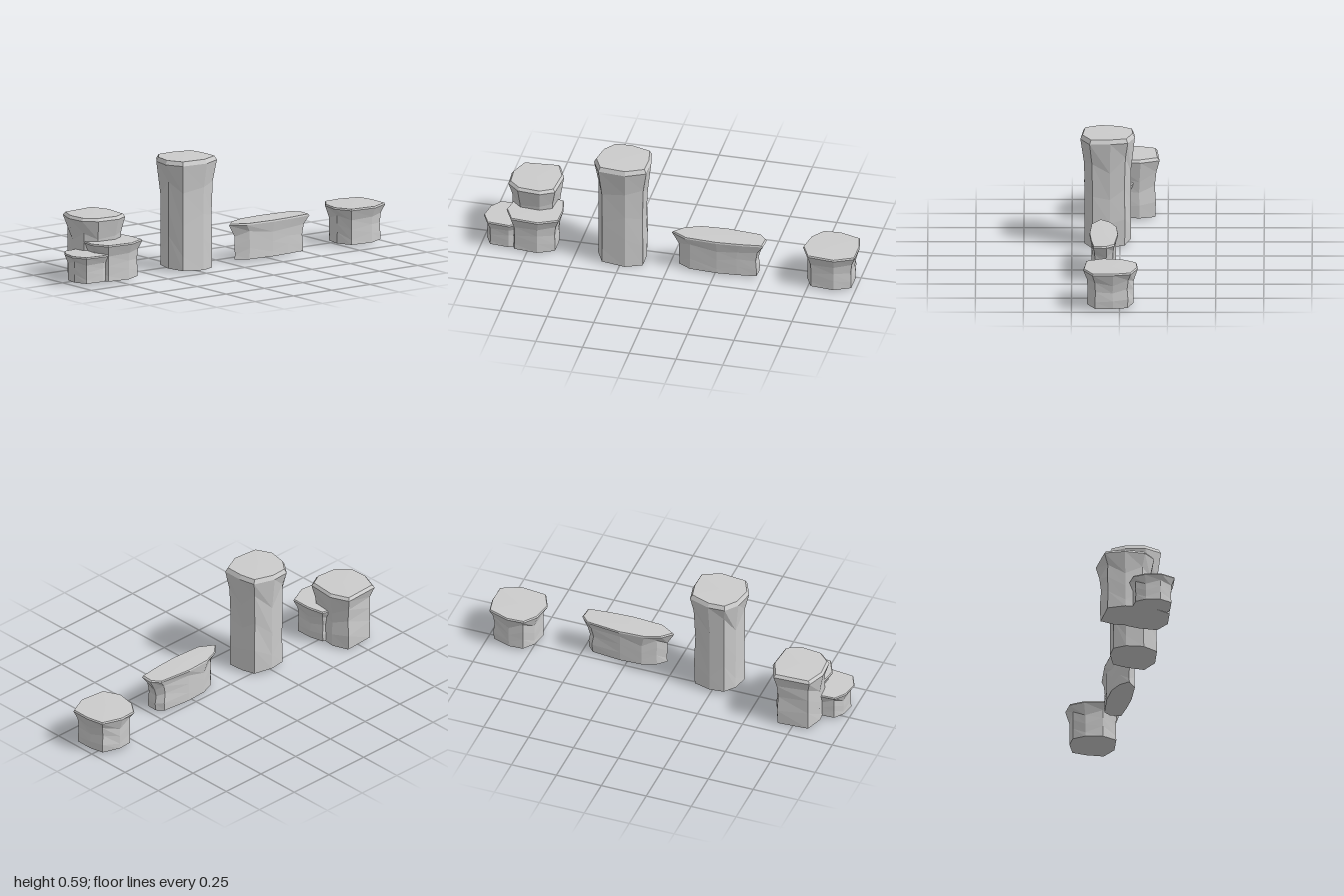
import * as THREE from 'three';

const material = new THREE.MeshStandardMaterial({ color: 0xcccccc, flatShading: true });

// Cap outlines seen from above, as (x, z) pairs in a -1..1 square
const blunt = [[-0.74, -0.87], [-0.1, -1], [0.66, -0.99], [1, -0.3], [0.9, 0.7], [0.27, 1], [-0.48, 0.87], [-0.96, 0.52], [-1, -0.1]];
const broad = [[-0.97, -0.67], [-0.3, -0.97], [0.74, -0.88], [1, -0.37], [0.92, 0.5], [0.52, 0.95], [-0.2, 1], [-0.89, 0.72]];
const blade = [[-0.75, -0.85], [-0.2, -1], [0.72, -0.98], [0.9, -0.5], [1, 0], [0.86, 0.68], [0.22, 1], [-0.45, 0.8], [-0.9, 0.45], [-1, -0.1]];

// Small repeatable variation in -1..1
const vary = (i, k, seed) => Math.sin(i * 12.9 + k * 78.2 + seed * 37.7);

// Weathered pillar: narrow waist, flaring rim, bevelled flat cap and uneven base
function pillar(name, outline, { x, z, rx, rz, top, bevel, flare, inset = 0.92, tilt, seed }) {
  const base = 0.016;
  const rim = top - bevel;
  const rings = [
    [base, 0.84], [base + (rim - base) * 0.22, 0.86], [base + (rim - base) * 0.48, 0.835],
    [rim - flare, 0.865], [rim, 1], [top, inset],
  ];
  const n = outline.length;
  const points = [], index = [];
  rings.forEach(([y, s], k) => {
    outline.forEach(([u, v], i) => {
      const body = k < 4;
      const scale = s + (body ? 0.018 * vary(i, k, seed) : 0);
      let h = y;
      if (k === 0) h += tilt[0] * u + tilt[1] * v;
      else if (body) h += 0.1 * (rim - base) * vary(k, i, seed + 2);
      else h += 0.002 * vary(i, 1, seed);
      points.push(x + u * rx * scale, h, z + v * rz * scale);
    });
  });
  for (let k = 0; k < rings.length - 1; k++) {
    for (let i = 0; i < n; i++) {
      const j = (i + 1) % n, a = k * n + i, b = k * n + j;
      index.push(a, a + n, b + n, a, b + n, b);
    }
  }
  // Close base and cap
  const low = points.length / 3, high = low + 1, last = (rings.length - 1) * n;
  points.push(x, base, z, x, top, z);
  for (let i = 0; i < n; i++) {
    const j = (i + 1) % n;
    index.push(low, i, j, high, last + j, last + i);
  }
  const indexed = new THREE.BufferGeometry();
  indexed.setAttribute('position', new THREE.Float32BufferAttribute(points, 3));
  indexed.setIndex(index);
  const geometry = indexed.toNonIndexed();
  geometry.computeVertexNormals();
  const mesh = new THREE.Mesh(geometry, material);
  mesh.name = name;
  return mesh;
}

export function createModel() {
  const group = new THREE.Group();
  group.name = 'rockPillars';
  group.add(
    // Separate stones from back to front
    pillar('backStone', blunt, { x: 0.047, z: -0.855, rx: 0.142, rz: 0.145, top: 0.211, bevel: 0.008, flare: 0.05, inset: 0.97, tilt: [0, 0], seed: 1 }),
    pillar('longStone', blade, { x: 0.083, z: -0.262, rx: 0.075, rz: 0.25, top: 0.211, bevel: 0.008, flare: 0.05, inset: 0.97, tilt: [0, 0], seed: 2 }),
    pillar('tallPillar', blunt, { x: 0.064, z: 0.257, rx: 0.142, rz: 0.147, top: 0.598, bevel: 0.022, flare: 0.13, tilt: [-0.007, 0.007], seed: 3 }),
    // Front cluster
    pillar('clusterTallStone', broad, { x: -0.062, z: 0.75, rx: 0.148, rz: 0.14, top: 0.335, bevel: 0.015, flare: 0.09, tilt: [0.005, 0.001], seed: 4 }),
    pillar('clusterMiddleStone', blunt, { x: 0.047, z: 0.73, rx: 0.142, rz: 0.146, top: 0.21, bevel: 0.007, flare: 0.05, inset: 0.97, tilt: [-0.003, 0], seed: 5 }),
    pillar('clusterLowStone', blunt, { x: 0.052, z: 0.88, rx: 0.117, rz: 0.118, top: 0.159, bevel: 0.007, flare: 0.035, inset: 0.97, tilt: [0, 0], seed: 6 }),
  );
  return group;
}
